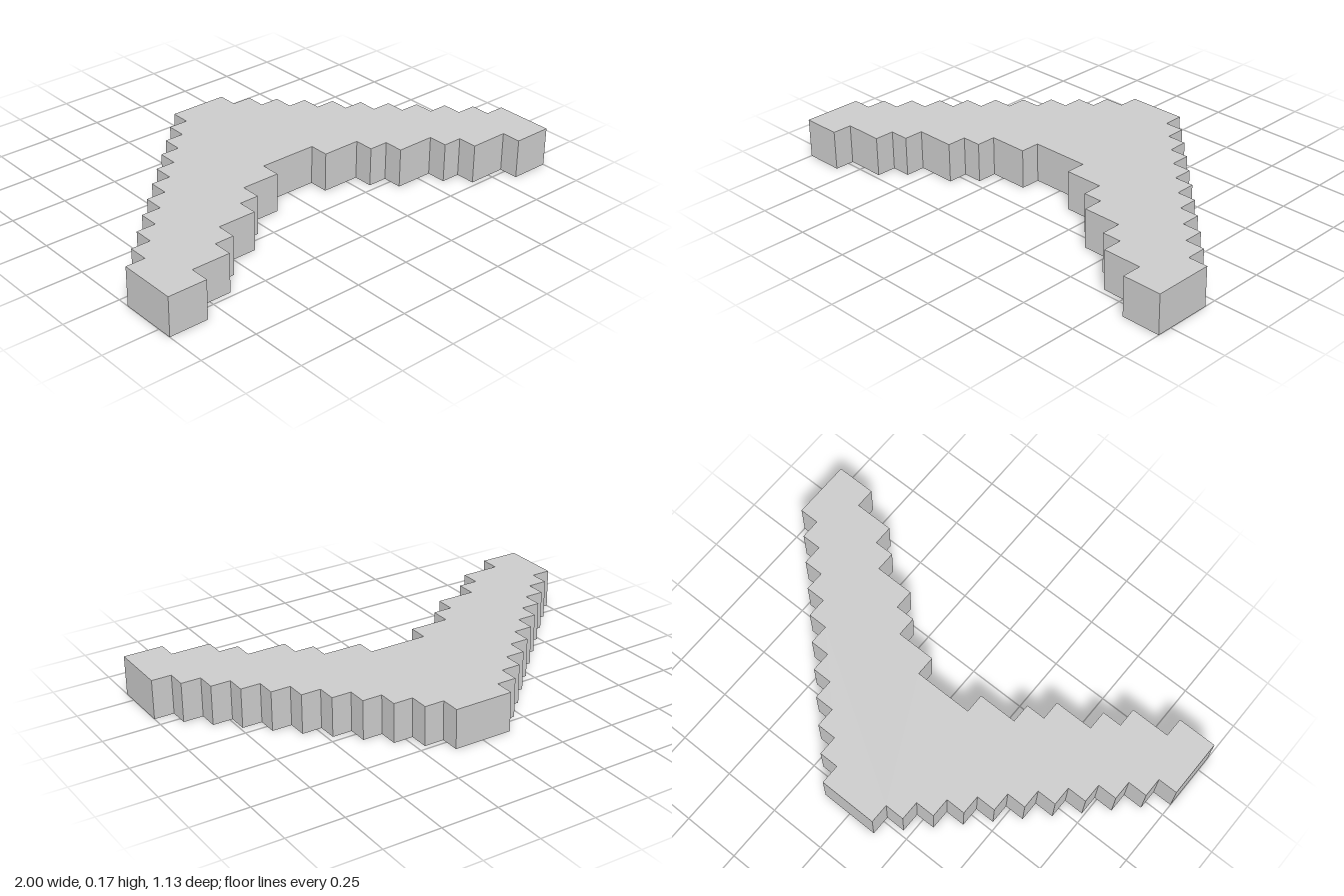
import * as THREE from 'three';

const U = 2 / 23; // one grid cell

export function createModel() {
  const group = new THREE.Group();
  group.name = 'boomerang';

  // Right half of the stepped outline in cells, as [x, z], back to front
  const half = [];
  for (let i = 0; i <= 10; i++) {
    // outer edge: one cell across, one cell forward
    if (i > 0) half.push([0.5 + i, -6.5 + i]);
    half.push([1.5 + i, -6.5 + i]);
  }
  // inner edge: treads of alternating width, from the tip to the middle
  const treadEnds = [11.5, 9.5, 7.5, 6.5, 4.5, 3.5, 1.5];
  treadEnds.forEach((x, i) => {
    const z = 6.5 - i;
    half.push([x, z]);
    if (i < treadEnds.length - 1) half.push([treadEnds[i + 1], z]);
  });

  // Mirror to the other arm and close the outline
  const outline = [...half, ...half.map(([x, z]) => [-x, z]).reverse()];
  const shape = new THREE.Shape(outline.map(([x, z]) => new THREE.Vector2(x * U, -z * U)));

  // Flat slab, two cells thick
  const geometry = new THREE.ExtrudeGeometry(shape, { depth: 2 * U, bevelEnabled: false });
  geometry.rotateX(-Math.PI / 2);
  const body = new THREE.Mesh(
    geometry,
    new THREE.MeshStandardMaterial({ color: 0xcccccc, flatShading: true })
  );
  body.name = 'steppedBody';
  group.add(body);
  return group;
}
